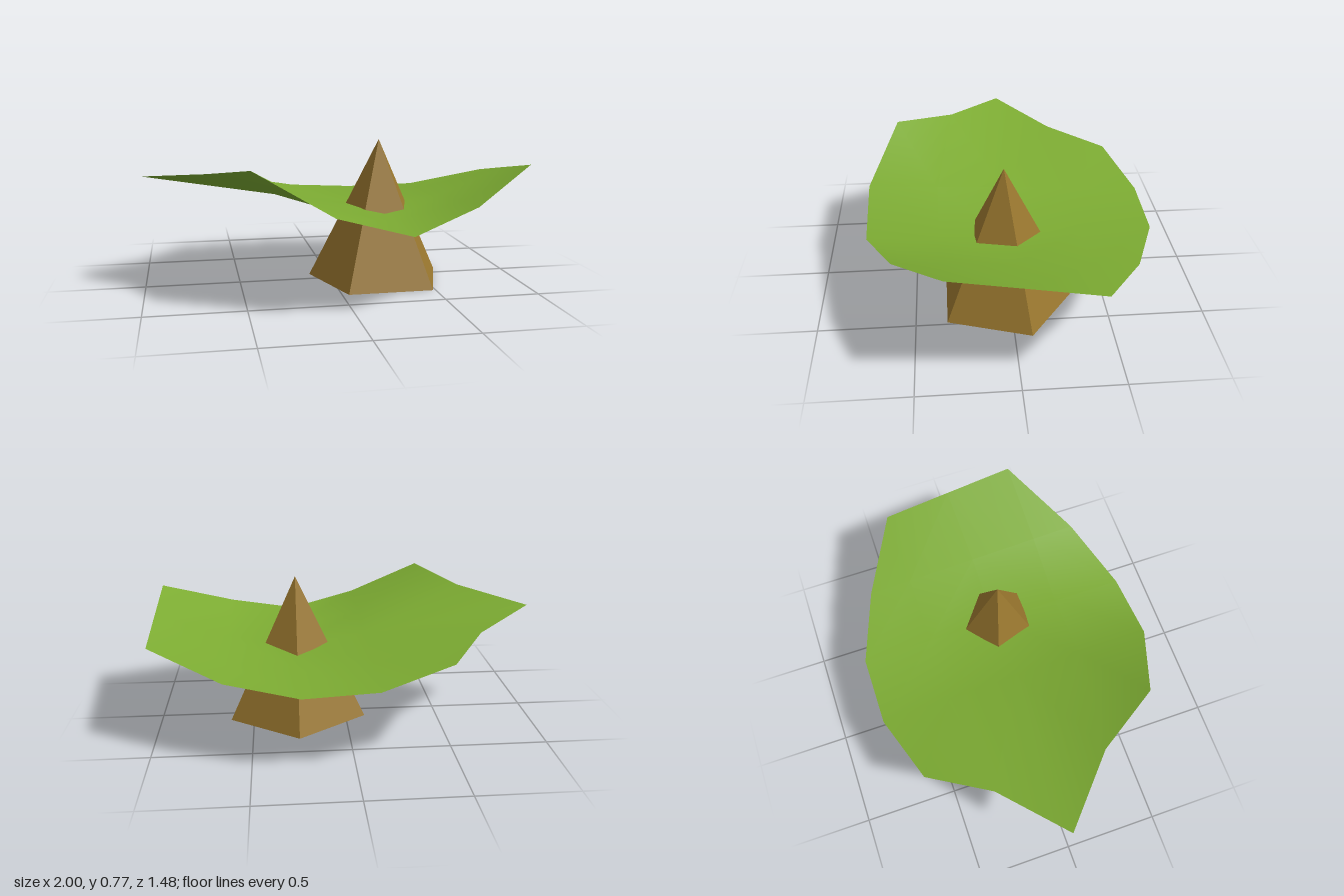
import * as THREE from 'three';
import { mergeVertices } from 'three/addons/utils/BufferGeometryUtils.js';

// One row of the leaf across z, with its height running evenly from back to front
function leafRow(x, zBack, yBack, zFront, yFront) {
  return [zBack, -0.37, 0, 0.365, zFront].map((z) => {
    const t = (z - zBack) / (zFront - zBack);
    return [x, yBack + (yFront - yBack) * t, z];
  });
}

// Leaf as a five by five grid: one end pulled out to a tip, the other cut off at its corners
function leafGeometry() {
  const backCorner = [0.625, 0.417, -0.6];
  const frontCorner = [0.625, 0.487, 0.59];
  const rows = [
    [[-0.48, 0.487, -0.62], [-0.675, 0.537, -0.31], [-1, 0.592, -0.02], [-0.675, 0.638, 0.27], [-0.48, 0.693, 0.58]],
    leafRow(-0.11, -0.74, 0.407, 0.735, 0.487),
    leafRow(0.26, -0.74, 0.387, 0.735, 0.387),
    leafRow(0.625, -0.6, 0.417, 0.59, 0.487),
    [backCorner, [1, 0.527, -0.38], [1, 0.59, -0.02], [1, 0.652, 0.34], frontCorner],
  ];
  const index = [];
  for (let i = 0; i < 4; i++) {
    for (let j = 0; j < 4; j++) {
      const a = i * 5 + j;
      const [b, c, d] = [a + 1, a + 5, a + 6];
      const cutCorner = i === 3 && (j === 0 || j === 3);
      // Diagonals mirror about the midrib
      if (j < 2) {
        index.push(a, b, d);
        if (!cutCorner) index.push(a, d, c);
      } else {
        index.push(a, b, c);
        if (!cutCorner) index.push(b, d, c);
      }
    }
  }
  const sheet = new THREE.BufferGeometry();
  sheet.setAttribute('position', new THREE.Float32BufferAttribute(rows.flat(2), 3));
  sheet.setIndex(index);
  const merged = mergeVertices(sheet, 1e-4);
  merged.computeVertexNormals();
  return merged;
}

export function createModel() {
  const model = new THREE.Group();
  model.name = 'leafOnSpike';

  const green = new THREE.MeshStandardMaterial({ color: 0x7cab32, side: THREE.DoubleSide });
  green.name = 'leaf green';
  const brown = new THREE.MeshStandardMaterial({ color: 0x98762e });
  brown.name = 'bark brown';

  // Five-sided spike, one corner pointing to the back
  const spikeGeometry = new THREE.ConeGeometry(0.383, 0.768, 5).toNonIndexed();
  spikeGeometry.computeVertexNormals();
  const spike = new THREE.Mesh(spikeGeometry, brown);
  spike.name = 'spike';
  spike.rotation.y = Math.PI;
  spike.position.set(0.26, 0.384, 0.028);
  model.add(spike);

  // Leaf pierced by the spike
  const leaf = new THREE.Mesh(leafGeometry(), green);
  leaf.name = 'leaf';
  model.add(leaf);

  return model;
}
